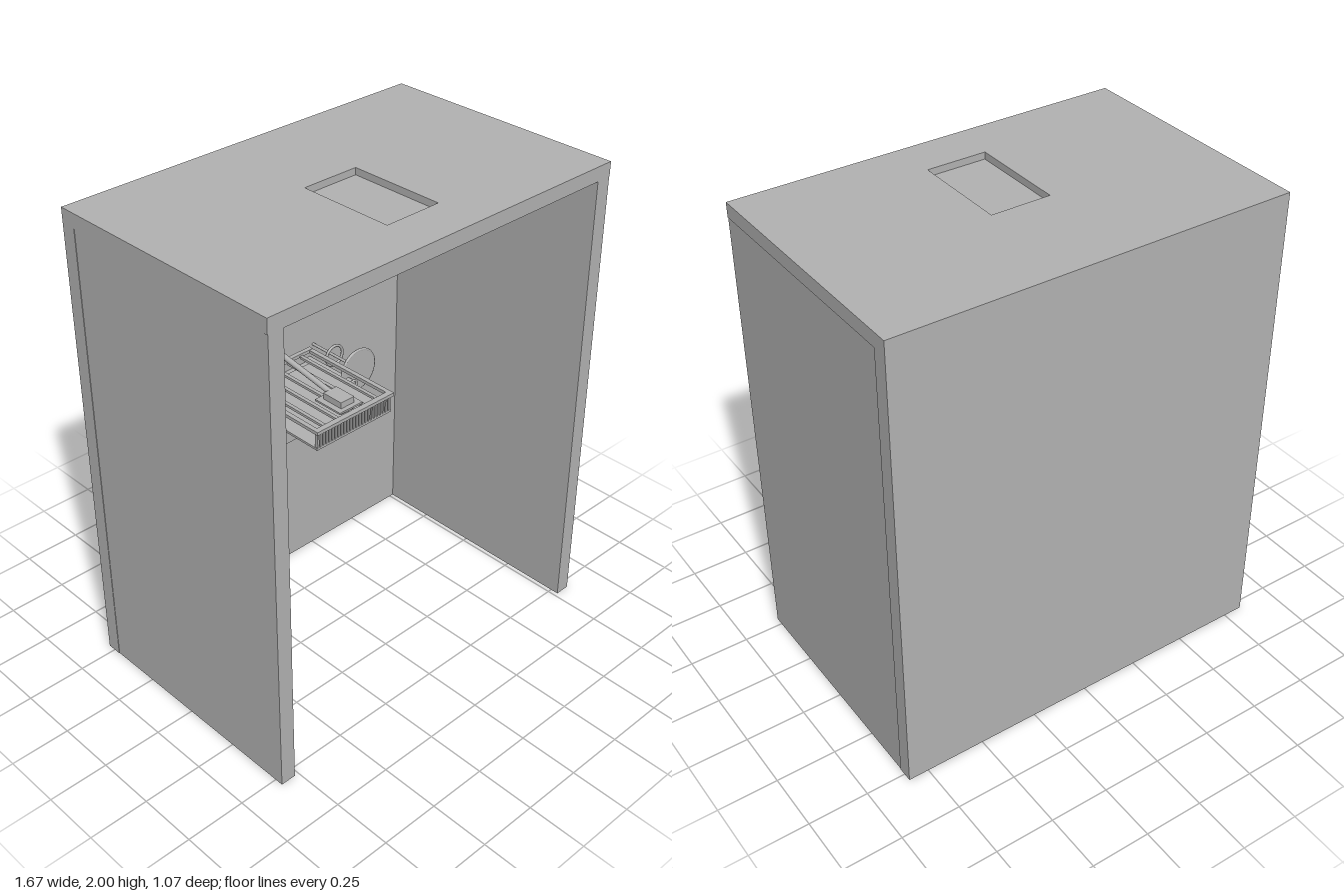
import * as THREE from 'three';

const grey = new THREE.MeshStandardMaterial({ color: 0xb2b2b2 });
grey.name = 'plain grey';

export function createModel() {
  const model = new THREE.Group();
  model.name = 'booth';

  const add = (name, geometry, parent = model) => {
    const mesh = new THREE.Mesh(geometry, grey);
    mesh.name = name;
    parent.add(mesh);
    return mesh;
  };
  // Box given by its limits on each axis
  const box = (name, x0, x1, y0, y1, z0, z1, parent) => {
    const mesh = add(name, new THREE.BoxGeometry(x1 - x0, y1 - y0, z1 - z0), parent);
    mesh.position.set((x0 + x1) / 2, (y0 + y1) / 2, (z0 + z1) / 2);
    return mesh;
  };
  // Round bar between two points
  const rod = (name, a, b, r, parent) => {
    const p = new THREE.Vector3(...a), q = new THREE.Vector3(...b);
    const mesh = add(name, new THREE.CylinderGeometry(r, r, p.distanceTo(q), 16), parent);
    mesh.position.copy(p).lerp(q, 0.5);
    mesh.quaternion.setFromUnitVectors(new THREE.Vector3(0, 1, 0), q.sub(p).normalize());
    return mesh;
  };

  // Shell: back wall, two side walls, open front and floor
  box('backWall', -0.835, 0.835, 0, 1.94, -0.535, -0.47);
  for (const s of [-1, 1]) {
    const x = [s * 0.768, s * 0.833].sort((a, b) => a - b);
    box(s > 0 ? 'leftWall' : 'rightWall', x[0], x[1], 0, 1.94, -0.47, 0.535);
  }

  // Roof with a rectangular opening
  const roofShape = new THREE.Shape([
    new THREE.Vector2(-0.835, -0.535), new THREE.Vector2(0.835, -0.535),
    new THREE.Vector2(0.835, 0.535), new THREE.Vector2(-0.835, 0.535)]);
  roofShape.holes.push(new THREE.Path([
    new THREE.Vector2(-0.125, -0.34), new THREE.Vector2(-0.125, 0.07),
    new THREE.Vector2(0.125, 0.07), new THREE.Vector2(0.125, -0.34)]));
  const roof = add('roof', new THREE.ExtrudeGeometry(roofShape, { depth: 0.06, bevelEnabled: false }));
  roof.rotation.x = -Math.PI / 2;
  roof.position.y = 1.94;

  // Hatch closing the opening from below, with a small handle
  const hatch = new THREE.Group();
  hatch.name = 'roofHatch';
  model.add(hatch);
  box('hatchPlug', -0.124, 0.124, 1.939, 1.972, -0.069, 0.339, hatch);
  box('hatchFlange', -0.17, 0.17, 1.93, 1.939, -0.1, 0.37, hatch);
  box('hatchHandle', -0.147, -0.137, 1.89, 1.93, 0.12, 0.15, hatch);

  // Wall console
  const console_ = new THREE.Group();
  console_.name = 'wallConsole';
  model.add(console_);
  box('consoleBody', -0.25, 0.245, 0.765, 0.96, -0.47, -0.287, console_);

  // Slatted tray in front of the console
  const tray = new THREE.Group();
  tray.name = 'slattedTray';
  model.add(tray);
  box('trayFloor', -0.2, 0.2, 0.975, 0.985, -0.42, 0.06, tray);
  box('frontRail', -0.205, 0.205, 1.05, 1.065, 0.045, 0.07, tray);
  box('rearRail', -0.205, 0.205, 1.05, 1.065, -0.42, -0.4, tray);
  for (const s of [-1, 1]) {
    box('sideRail', s * 0.195 - 0.01, s * 0.195 + 0.01, 1.05, 1.064, -0.4, 0.045, tray);
    box('trayFoot', s * 0.12 - 0.015, s * 0.12 + 0.015, 0.96, 0.975, -0.38, 0.02, tray);
  }
  for (let i = 0; i < 25; i++) {
    const x = -0.192 + i * 0.016;
    box('slat', x - 0.004, x + 0.004, 0.985, 1.05, 0.045, 0.06, tray);
  }
  for (let i = 0; i < 5; i++) {
    const x = -0.14 + i * 0.07;
    box('crossBar', x - 0.008, x + 0.008, 1.045, 1.056, -0.4, 0.045, tray);
  }

  // Lever rising towards the back wall from a stepped mount
  const lever = new THREE.Group();
  lever.name = 'lever';
  model.add(lever);
  box('mountPlate', -0.06, 0.06, 1.065, 1.073, -0.1, 0.04, lever);
  box('mountBlock', -0.035, 0.035, 1.045, 1.1, -0.08, 0.02, lever);
  rod('leverArm', [0, 1.08, -0.02], [0, 1.155, -0.465], 0.012, lever);

  // Discs on arms at both sides
  for (const s of [-1, 1]) {
    const side = new THREE.Group();
    side.name = s > 0 ? 'leftDiscArm' : 'rightDiscArm';
    model.add(side);
    rod('disc', [s * 0.31, 0.99, -0.246], [s * 0.31, 0.99, -0.236], 0.09, side);
    const rim = add('discRim', new THREE.TorusGeometry(0.09, 0.006, 8, 40), side);
    rim.position.set(s * 0.31, 0.99, -0.241);
    rod('armTube', [s * 0.246, 0.965, -0.47], [s * 0.246, 0.965, -0.2], 0.014, side);
    const collar = add('armCollar', new THREE.TorusGeometry(0.016, 0.005, 8, 20), side);
    collar.position.set(s * 0.246, 0.965, -0.2);
    const ring = add('rearRing', new THREE.TorusGeometry(0.045, 0.006, 8, 28), side);
    ring.position.set(s * 0.27, 1.03, -0.34);
    rod('rearStem', [s * 0.27, 1.03, -0.47], [s * 0.27, 1.03, -0.24], 0.006, side);
  }

  return model;
}
